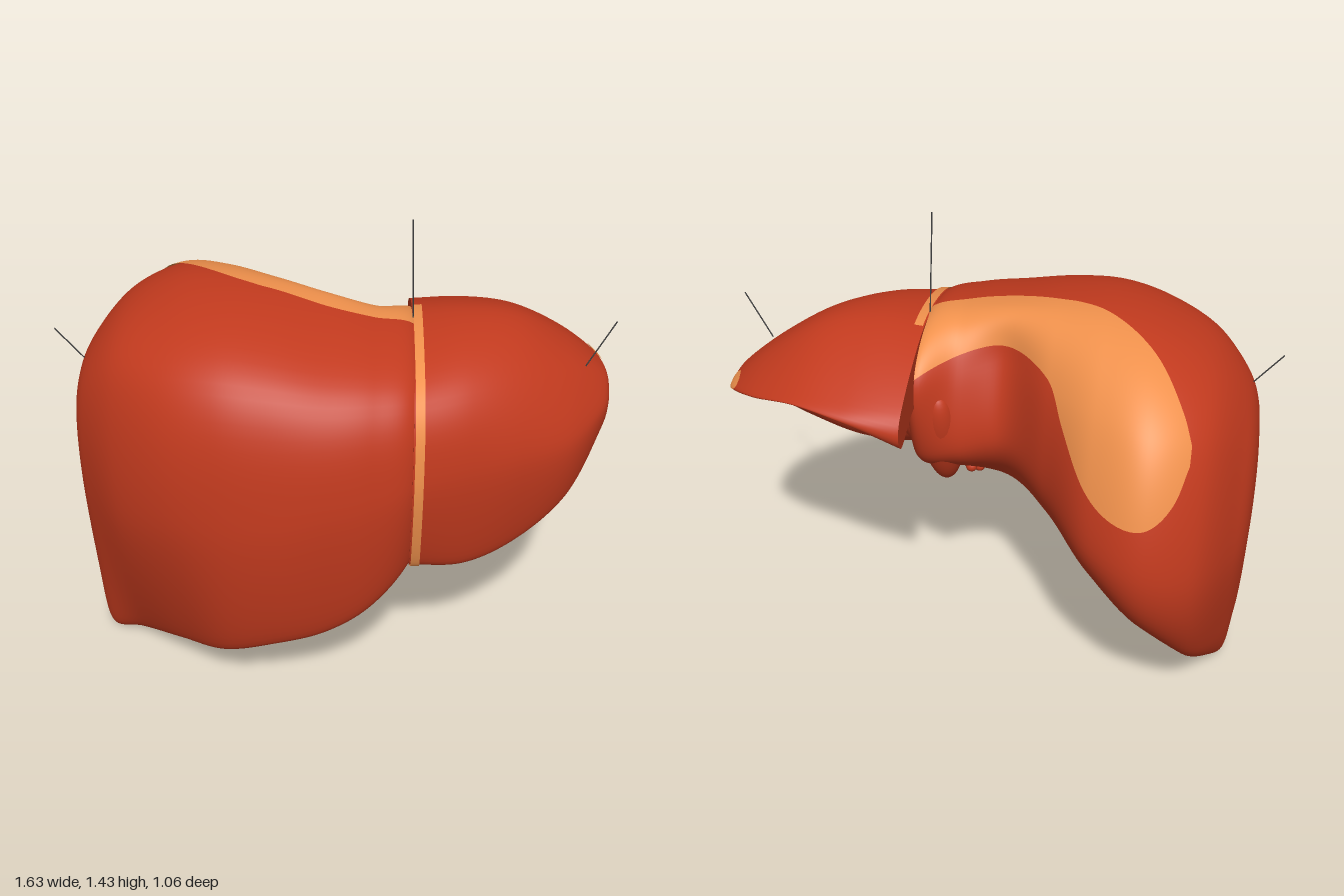
import * as THREE from 'three';

const red = new THREE.MeshStandardMaterial({ color: 0xc23a1e });
const orange = new THREE.MeshStandardMaterial({ color: 0xf0914c, side: THREE.DoubleSide });
const wall = new THREE.MeshStandardMaterial({ color: 0xc23a1e, side: THREE.DoubleSide });
const grey = new THREE.MeshStandardMaterial({ color: 0x444444 });

const V = (x, y, z) => new THREE.Vector3(x, y, z);

// Closed cross-section at x from [z, y] points, optionally shrunk towards a centre
function section(x, points, k = 1, cz = 0, cy = 0) {
  const pts = points.map(([z, y]) => V(x, cy + (y - cy) * k, cz + (z - cz) * k));
  return new THREE.CatmullRomCurve3(pts, true, 'catmullrom', 0.5);
}

// Smooth surface through the sections: s = section number, t = control point number
function makeSurface(sections, count) {
  return (s, t) => {
    const f = (((t / count) % 1) + 1) % 1;
    const rail = new THREE.CatmullRomCurve3(sections.map((c) => c.getPoint(f)));
    return rail.getPoint(s / (sections.length - 1));
  };
}

// Grid of triangles from a point function; wraps in the second direction if closed
function grid(rows, cols, point, closed = false) {
  const pos = [], index = [], w = closed ? cols : cols + 1;
  for (let i = 0; i <= rows; i++)
    for (let j = 0; j < w; j++) pos.push(...point(i / rows, j / cols).toArray());
  for (let i = 0; i < rows; i++)
    for (let j = 0; j < cols; j++) {
      const a = i * w + j, b = i * w + ((j + 1) % w);
      index.push(a, b, a + w, b, b + w, a + w);
    }
  const g = new THREE.BufferGeometry();
  g.setAttribute('position', new THREE.Float32BufferAttribute(pos, 3));
  g.setIndex(index);
  g.computeVertexNormals();
  return g;
}

// Patch lying just above a surface; outline rows are [s, tStart, tEnd]
function patch(surface, outline, rows, cols, lift) {
  const edge = new THREE.CatmullRomCurve3(outline.map((o) => V(...o)));
  const g = grid(rows, cols, (u, v) => {
    const e = edge.getPoint(u);
    return surface(e.x, e.y + (e.z - e.y) * v);
  });
  const p = g.attributes.position, n = g.attributes.normal;
  for (let i = 0; i < p.count; i++)
    p.setXYZ(i, p.getX(i) + n.getX(i) * lift, p.getY(i) + n.getY(i) * lift, p.getZ(i) + n.getZ(i) * lift);
  return g;
}

export function createModel() {
  const model = new THREE.Group();
  const add = (name, geometry, material) => {
    const mesh = new THREE.Mesh(geometry, material);
    mesh.name = name;
    model.add(mesh);
    return mesh;
  };

  // Right lobe: top, front upper, front, lower edge, underside x2, back lower, back, back upper
  const rEnd = [[0, 1.0], [0.18, 0.92], [0.22, 0.6], [0.12, 0.07], [0.05, 0.0], [-0.06, 0.04], [-0.2, 0.25], [-0.31, 0.6], [-0.21, 0.9]];
  const rSeam = [[0.05, 1.105], [0.36, 1.03], [0.445, 0.8], [0.4, 0.53], [0.34, 0.53], [0.15, 0.59], [-0.02, 0.64], [-0.14, 0.74], [-0.17, 1.0]];
  const right = makeSurface([
    section(-0.752, rEnd, 0.001, 0, 0.68),
    section(-0.747, rEnd, 0.4, 0, 0.68),
    section(-0.733, rEnd, 0.75, 0, 0.68),
    section(-0.7, rEnd),
    section(-0.6, [[-0.05, 1.11], [0.26, 1.02], [0.345, 0.6], [0.16, 0.06], [0.04, 0.05], [-0.12, 0.09], [-0.36, 0.29], [-0.47, 0.62], [-0.34, 0.99]]),
    section(-0.45, [[-0.06, 1.18], [0.35, 1.07], [0.45, 0.65], [0.3, 0.13], [0.19, 0.2], [-0.04, 0.38], [-0.4, 0.41], [-0.53, 0.66], [-0.4, 1.04]]),
    section(-0.3, [[-0.03, 1.2], [0.4, 1.09], [0.505, 0.68], [0.42, 0.19], [0.28, 0.26], [0, 0.37], [-0.3, 0.5], [-0.465, 0.7], [-0.33, 1.05]]),
    section(-0.15, [[0, 1.19], [0.42, 1.08], [0.525, 0.7], [0.46, 0.25], [0.34, 0.31], [0.1, 0.46], [-0.15, 0.58], [-0.27, 0.76], [-0.2, 1.04]]),
    section(0, [[0.03, 1.165], [0.42, 1.06], [0.52, 0.74], [0.46, 0.3], [0.36, 0.36], [0.16, 0.5], [0, 0.6], [-0.12, 0.78], [-0.06, 1.03]]),
    section(0.13, [[0.05, 1.135], [0.4, 1.05], [0.495, 0.77], [0.45, 0.39], [0.36, 0.43], [0.16, 0.56], [-0.02, 0.63], [-0.15, 0.76], [-0.1, 1.0]]),
    section(0.245, rSeam),
    section(0.29, rSeam, 0.6, 0.12, 0.8),
    section(0.31, rSeam, 0.001, 0.12, 0.8),
  ], 9);
  add('rightLobe', grid(120, 99, (u, v) => right(u * 12, v * 9), true), red);

  // Left lobe: a wing with a hollow underside and an arched rear edge, tapering to the tip
  const lSeam = [[0, 1.11], [0.36, 1.035], [0.455, 0.81], [0.405, 0.51], [0.32, 0.51], [0.2, 0.575], [-0.04, 0.66], [-0.15, 0.91], [-0.335, 0.88], [-0.325, 0.985]];
  const lTip = [[-0.06, 0.93], [0.03, 0.92], [0.11, 0.85], [0.1, 0.77], [0.06, 0.775], [-0.01, 0.82], [-0.06, 0.855], [-0.1, 0.88], [-0.15, 0.9], [-0.14, 0.915]];
  const seam = section(0.24, lSeam);
  const left = makeSurface([
    seam,
    section(0.4, [[0, 1.12], [0.3, 1.04], [0.4, 0.82], [0.36, 0.49], [0.29, 0.5], [0.18, 0.67], [-0.01, 0.8], [-0.16, 0.93], [-0.34, 0.95], [-0.325, 1.0]]),
    section(0.55, [[-0.02, 1.095], [0.22, 1.02], [0.335, 0.82], [0.3, 0.53], [0.24, 0.54], [0.15, 0.71], [-0.02, 0.83], [-0.15, 0.93], [-0.305, 0.97], [-0.29, 1.0]]),
    section(0.7, [[-0.05, 1.01], [0.12, 0.97], [0.24, 0.82], [0.22, 0.63], [0.17, 0.64], [0.08, 0.755], [-0.03, 0.835], [-0.12, 0.9], [-0.235, 0.935], [-0.225, 0.96]]),
    section(0.8, lTip),
    section(0.825, lTip, 0.6, -0.03, 0.86),
    section(0.836, lTip, 0.001, -0.03, 0.86),
  ], 10);
  add('leftLobe', grid(80, 100, (u, v) => left(u * 6, v * 10), true), red);

  // Flat wall of the left lobe facing the notch
  const outline = seam.getPoints(100).map((p) => new THREE.Vector2(-p.z, p.y));
  const notchWall = add('notchWall', new THREE.ShapeGeometry(new THREE.Shape(outline)), wall);
  notchWall.rotation.y = Math.PI / 2;
  notchWall.position.x = 0.24;

  // Bare area on top and back, ligament band along the seam, patch at the tip
  add('bareArea', patch(right, [
    [4.3, -1.15, -1.0], [4.5, -1.4, -0.75], [5, -1.6, -0.35], [6, -1.55, 0], [6.6, -1.25, 0.1],
    [7, -0.9, 0.13], [8, -0.75, 0.2], [9, -0.75, 0.18], [10, -1, 0.13],
  ], 80, 30, 0.004), orange);
  add('ligamentBand', patch(left, [[0.02, -0.1, 5.3], [0.1, -0.1, 5.3], [0.18, -0.1, 5.3]], 4, 90, 0.005), orange);
  add('tipPatch', patch(left, [[3.75, -1.1, -0.7], [3.95, -1.6, -0.3], [4.3, -1.7, -0.3], [4.7, -1.3, -0.6]], 16, 16, 0.003), orange);

  // Rounded lobes on the underside
  const lump = (name, [x, y, z], [a, b, c], tilt) => {
    const mesh = add(name, new THREE.SphereGeometry(1, 32, 24), red);
    mesh.position.set(x, y, z);
    mesh.scale.set(a, b, c);
    mesh.rotation.x = tilt;
  };
  lump('caudateLobe', [0.18, 0.77, -0.09], [0.06, 0.18, 0.06], -0.3);
  lump('quadrateLobe', [0.06, 0.55, 0.21], [0.1, 0.07, 0.13], 0.6);

  // Vessel stubs beside the caudate lobe
  for (const [x, y, z] of [[0.1, 0.595, 0.08], [0.14, 0.6, 0.09], [0.12, 0.61, 0.05]]) {
    const stub = add('vesselStub', new THREE.CapsuleGeometry(0.018, 0.05, 6, 14), red);
    stub.position.set(x, y, z);
    stub.rotation.x = 0.7;
  }

  // Thin pointer rods
  const rods = [
    [V(0.232, 1.42, 0.07), V(0.242, 1.1, 0.05)],
    [V(-0.79, 1.07, 0.06), V(-0.7, 0.96, 0.06)],
    [V(0.82, 1.115, 0.065), V(0.745, 0.97, 0.065)],
  ];
  for (const [a, b] of rods)
    add('pointerRod', new THREE.TubeGeometry(new THREE.LineCurve3(a, b), 1, 0.002, 6), grey);

  return model;
}
